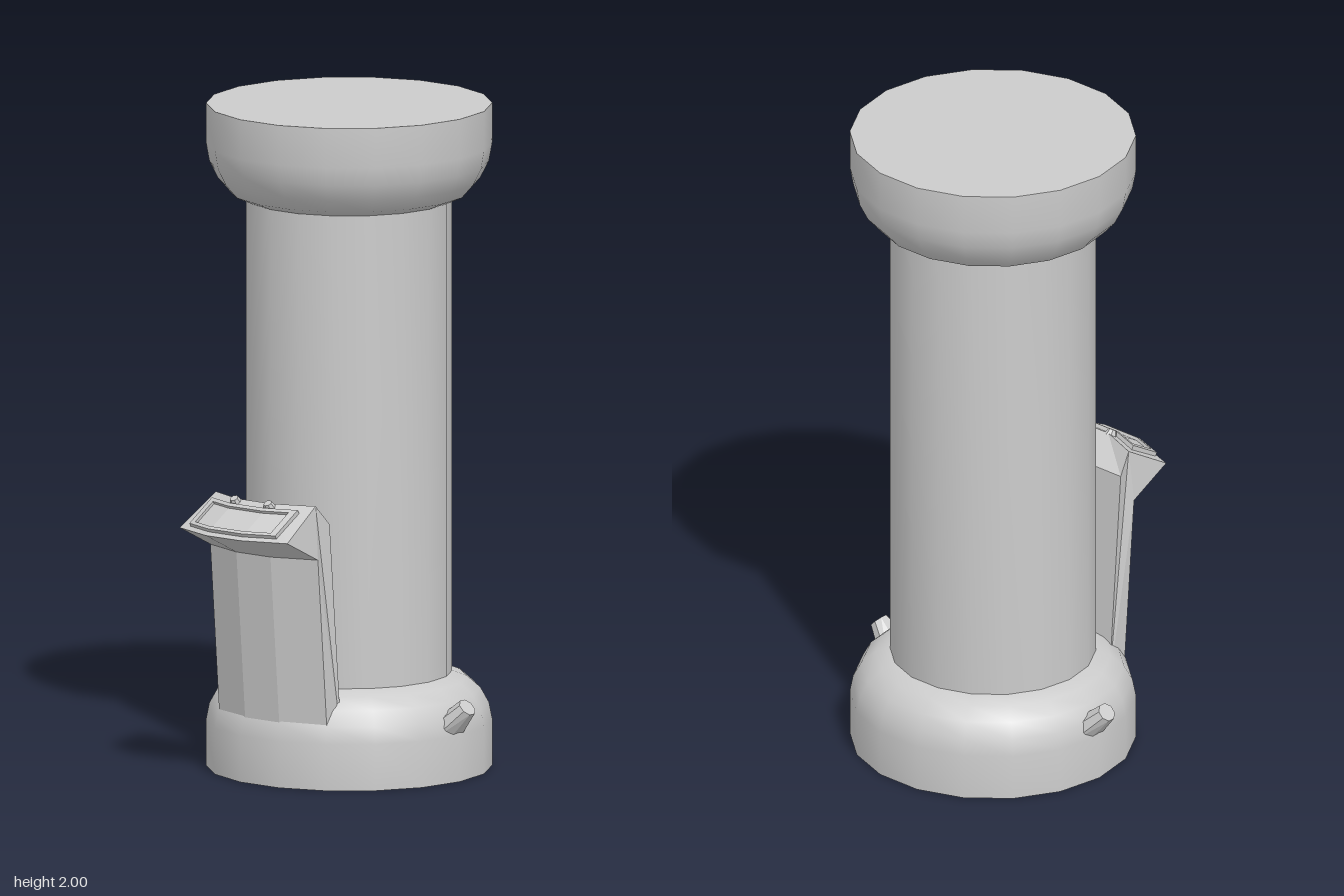
import * as THREE from 'three';
import { toCreasedNormals } from 'three/addons/utils/BufferGeometryUtils.js';

const CZ = -0.085; // z of the column axis
const smooth = new THREE.MeshStandardMaterial({ color: 0xcccccc });
const flat = new THREE.MeshStandardMaterial({ color: 0xcccccc, flatShading: true });

function add(parent, name, geometry, material) {
  const mesh = new THREE.Mesh(geometry, material);
  mesh.name = name;
  parent.add(mesh);
  return mesh;
}

// 18-sided turned part from [radius, y] points, bottom to top
function turned(points) {
  const geo = new THREE.LatheGeometry(points.map(p => new THREE.Vector2(...p)), 18, Math.PI / 18);
  return toCreasedNormals(geo, 0.75).translate(0, 0, CZ);
}

// Solid through cross-sections running along +x; each loop is counter-clockwise seen from +x
function loft(sections) {
  const n = sections[0].length, last = sections.length - 1;
  const index = [];
  for (let i = 0; i < last; i++) {
    for (let j = 0; j < n; j++) {
      const a = i * n + j, b = i * n + (j + 1) % n;
      index.push(a, b, b + n, a, b + n, a + n);
    }
  }
  for (const [s, flip] of [[0, true], [last, false]]) {
    const outline = sections[s].map(p => new THREE.Vector2(-p[2], p[1]));
    for (const [a, b, c] of THREE.ShapeUtils.triangulateShape(outline, [])) {
      index.push(s * n + a, s * n + (flip ? c : b), s * n + (flip ? b : c));
    }
  }
  const geo = new THREE.BufferGeometry();
  geo.setAttribute('position', new THREE.Float32BufferAttribute(sections.flat(2), 3));
  geo.setIndex(index);
  const out = geo.toNonIndexed();
  out.computeVertexNormals();
  return out;
}

// The console front is bowed: its outer thirds sweep back
const sweep = x => -0.05 * Math.max(0, (Math.abs(x) - 0.065) / 0.14);

// Point on the sloping console face: t runs up the slope, h is the height above it
const facePoint = (x, t, h) => [
  x, 0.77 + 0.09 * t + 0.857 * h, 0.505 - 0.15 * t + 0.515 * h + sweep(x),
];

// Strip that follows the console face
function strip(xs, t0, t1, h) {
  return loft(xs.map(x => [
    facePoint(x, t0, -0.01), facePoint(x, t1, -0.01), facePoint(x, t1, h), facePoint(x, t0, h),
  ]));
}

function buildConsole() {
  const group = new THREE.Group();
  group.name = 'controlConsole';

  // Side profile: [y, z, half width, follows the bow]
  const profile = [
    [0.12, 0.20, 0.207, 0], [0.80, 0.255, 0.205, 0], [0.86, 0.355, 0.192, 1],
    [0.77, 0.505, 0.207, 1], [0.70, 0.362, 0.207, 1], [0.12, 0.315, 0.207, 1],
  ].reverse();
  profile.reverse();
  const columns = [-1, -0.32, 0.32, 1];
  // Listed back-up, over the ridge and down the front, so reverse to face outward
  const loop = c => profile.map(([y, z, w, bow]) => {
    const x = Math.abs(c) === 1 ? c * w : c * 0.205;
    return [x, y, z + (bow && Math.abs(c) === 1 ? -0.05 : 0)];
  });
  add(group, 'consoleBody', loft(columns.map(loop)), flat);

  // Raised frame around a recessed screen
  const wide = [-0.165, -0.065, 0.065, 0.165];
  add(group, 'screenFrameBottom', strip(wide, 0.1, 0.17, 0.012), flat);
  add(group, 'screenFrameTop', strip(wide, 0.72, 0.8, 0.012), flat);
  add(group, 'screenFrameRight', strip([-0.165, -0.145], 0.17, 0.72, 0.012), flat);
  add(group, 'screenFrameLeft', strip([0.145, 0.165], 0.17, 0.72, 0.012), flat);
  add(group, 'screen', strip([-0.145, -0.065, 0.065, 0.145], 0.17, 0.72, 0.003), flat);

  // Two buttons above the screen
  for (const x of [-0.065, 0.065]) {
    const button = add(group, 'button', new THREE.CylinderGeometry(0.013, 0.02, 0.02, 8), flat);
    button.position.set(...facePoint(x, 0.92, 0.004));
    button.rotation.x = Math.atan2(0.515, 0.857);
  }
  return group;
}

// Stub with a wide base that narrows to a small upturned end
function stubGeometry() {
  const geo = new THREE.CylinderGeometry(0.029, 0.08, 0.13, 8, 1, false, Math.PI / 8);
  const pos = geo.attributes.position;
  for (let i = 0; i < pos.count; i++) {
    if (pos.getY(i) < 0) pos.setX(i, pos.getX(i) * 0.55);
  }
  return geo;
}

export function createModel() {
  const model = new THREE.Group();
  model.name = 'pillarWithConsole';

  add(model, 'base', turned([
    [0, 0], [0.425, 0], [0.425, 0.14], [0.415, 0.19], [0.39, 0.235], [0.35, 0.27],
    [0.305, 0.287], [0, 0.287],
  ]), smooth);
  add(model, 'column', turned([[0.306, 0.25], [0.306, 1.75]]), smooth);
  add(model, 'capital', turned([
    [0, 1.715], [0.31, 1.715], [0.355, 1.735], [0.39, 1.775], [0.415, 1.825],
    [0.425, 1.88], [0.425, 2], [0, 2],
  ]), smooth);

  model.add(buildConsole());

  // Mirrored side stubs on the base
  for (const side of [-1, 1]) {
    const stub = add(model, side > 0 ? 'leftStub' : 'rightStub', stubGeometry(), flat);
    stub.position.set(side * 0.408, 0.183, CZ);
    stub.rotation.z = -side * 0.8;
  }
  return model;
}
